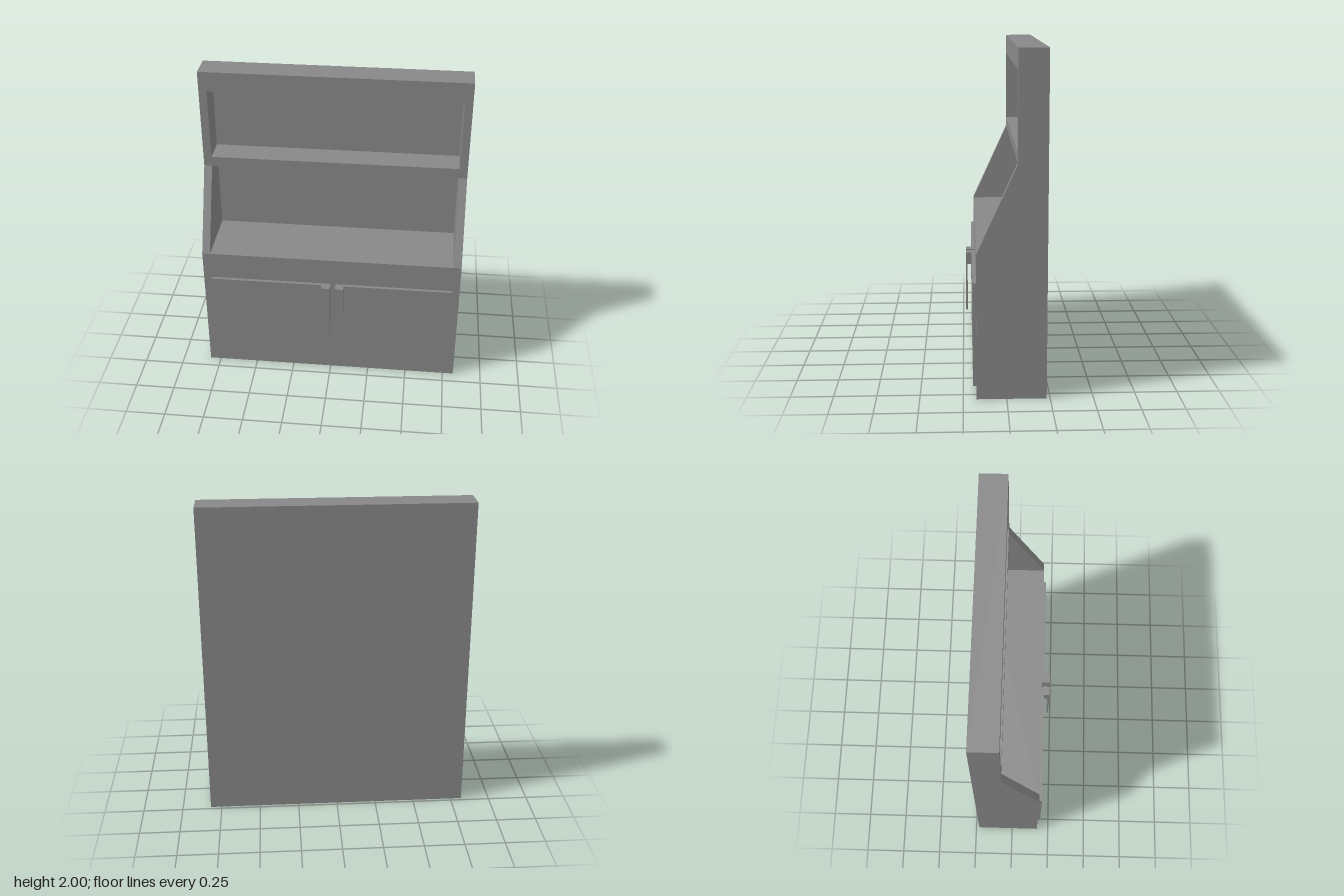
import * as THREE from 'three';

const W = 0.82, IN = 0.77;                         // half widths: outside, inside
const BACK = -0.23, UPPER = -0.06, LOWER = 0.173;  // z of back, upper front, lower front
const COUNTER = 0.856, SHELF = 1.367, TOP = 2;     // heights of counter, shelf underside, top
const NICHE = [1.43, 1.877];                       // bottom and top of the upper niche

export function createModel() {
  const model = new THREE.Group();
  model.name = 'hutchCabinet';
  const material = new THREE.MeshStandardMaterial({ color: 0x888888, flatShading: true });

  const add = (name, geometry, parent = model) => {
    const mesh = new THREE.Mesh(geometry, material);
    mesh.name = name;
    parent.add(mesh);
  };
  // Box given by its limits along each axis
  const box = (name, [x0, x1], [y0, y1], [z0, z1], parent) =>
    add(name, new THREE.BoxGeometry(x1 - x0, y1 - y0, z1 - z0)
      .translate((x0 + x1) / 2, (y0 + y1) / 2, (z0 + z1) / 2), parent);
  const rect = (Type, x, y0, y1) => new Type([
    new THREE.Vector2(-x, y0), new THREE.Vector2(x, y0),
    new THREE.Vector2(x, y1), new THREE.Vector2(-x, y1),
  ]);

  // Closed lower cupboard, its top being the counter
  box('lowerCupboard', [-W, W], [0, COUNTER], [BACK, LOWER]);

  // Upper frame with the open shelf niche
  const frame = rect(THREE.Shape, W, SHELF, TOP);
  frame.holes.push(rect(THREE.Path, IN, ...NICHE));
  add('upperFrame', new THREE.ExtrudeGeometry(frame, { depth: UPPER - BACK, bevelEnabled: false })
    .translate(0, 0, BACK));

  // Sloping cheeks between counter and upper frame (profile in -z, y)
  const cheek = new THREE.Shape([
    new THREE.Vector2(-BACK, COUNTER), new THREE.Vector2(-BACK, SHELF),
    new THREE.Vector2(-UPPER, SHELF), new THREE.Vector2(-LOWER, COUNTER),
  ]);
  for (const [name, x] of [['leftCheek', IN], ['rightCheek', -W]]) {
    add(name, new THREE.ExtrudeGeometry(cheek, { depth: W - IN, bevelEnabled: false })
      .rotateY(Math.PI / 2).translate(x, 0, 0));
  }

  // Thin back panels closing both niches
  box('counterBackPanel', [-IN, IN], [COUNTER, SHELF], [BACK, BACK + 0.001]);
  box('shelfBackPanel', [-IN, IN], NICHE, [BACK, BACK + 0.001]);

  // Doors with hooked handles
  const doors = [
    { side: 'right', door: [-IN, 0], handle: [-0.056, 0] },
    { side: 'left', door: [0.033, IN], handle: [0.033, 0.087] },
  ];
  for (const { side, door, handle } of doors) {
    box(side + 'Door', door, [0.06, 0.678], [LOWER, 0.193]);
    const group = new THREE.Group();
    group.name = side + 'Handle';
    model.add(group);
    box('handleMount', handle, [0.6, 0.678], [0.193, 0.219], group);
    box('handleBar', handle, [0.298, 0.678], [0.219, 0.23], group);
  }
  return model;
}
